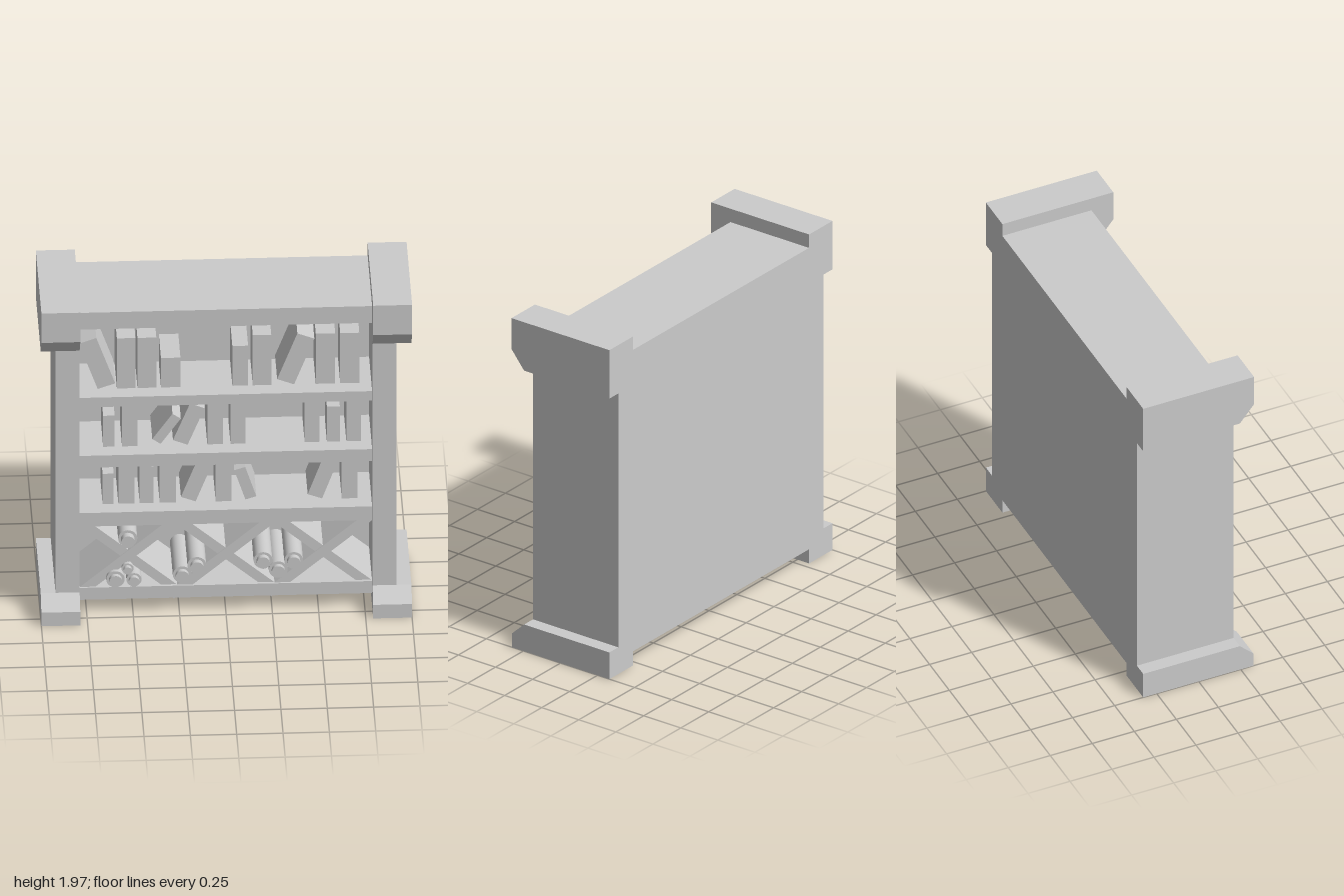
import * as THREE from 'three';

const material = new THREE.MeshStandardMaterial({ color: 0xcccccc, flatShading: true });
const smooth = new THREE.MeshStandardMaterial({ color: 0xcccccc });

function add(parent, name, geometry, mat = material) {
  const mesh = new THREE.Mesh(geometry, mat);
  mesh.name = name;
  parent.add(mesh);
  return mesh;
}

// Box given by its limits on each axis
function block(parent, name, x0, x1, y0, y1, z0, z1) {
  const mesh = add(parent, name, new THREE.BoxGeometry(x1 - x0, y1 - y0, z1 - z0));
  mesh.position.set((x0 + x1) / 2, (y0 + y1) / 2, (z0 + z1) / 2);
  return mesh;
}

// Side profile of [z, y] points, extruded from x0 to x1
function sideProfile(parent, name, points, x0, x1) {
  const shape = new THREE.Shape(points.map(([z, y]) => new THREE.Vector2(-z, y)));
  const geometry = new THREE.ExtrudeGeometry(shape, { depth: x1 - x0, bevelEnabled: false });
  geometry.rotateY(Math.PI / 2);
  geometry.translate(x0, 0, 0);
  return add(parent, name, geometry);
}

const BACK = -0.33, INNER = -0.16, FRONT = 0.2;

export function createModel() {
  const model = new THREE.Group();
  model.name = 'bookcase';

  // Side posts with chamfered feet and capitals
  for (const side of [1, -1]) {
    const span = (a, b) => (side > 0 ? [a, b] : [-b, -a]);
    const label = side > 0 ? 'left' : 'right';
    block(model, label + 'Post', ...span(0.79, 0.92), 0.16, 1.68, BACK, 0.245);
    sideProfile(model, label + 'Foot',
      [[BACK, 0], [0.325, 0], [0.325, 0.085], [0.245, 0.16], [BACK, 0.16]], ...span(0.79, 1));
    sideProfile(model, label + 'Capital',
      [[BACK, 1.68], [0.245, 1.68], [0.33, 1.785], [0.33, 1.97], [BACK, 1.97]], ...span(0.79, 1));
  }

  // Back panel and boards
  block(model, 'backPanel', -0.79, 0.79, 0.085, 1.89, BACK, INNER);
  const boards = [
    ['bottomBoard', 0.085, 0.16], ['lowerShelf', 0.545, 0.63], ['middleShelf', 0.915, 0.99],
    ['upperShelf', 1.295, 1.355], ['topBoard', 1.785, 1.89],
  ];
  for (const [name, y0, y1] of boards) block(model, name, -0.79, 0.79, y0, y1, INNER, FRONT);

  // Upright books: shelf height, then [left, right, top]
  const books = new THREE.Group();
  books.name = 'books';
  model.add(books);
  const rows = [
    [1.355, [[-0.583, -0.483, 1.67], [-0.472, -0.37, 1.67], [-0.345, -0.24, 1.54], [0.04, 0.125, 1.605],
      [0.15, 0.25, 1.67], [0.49, 0.595, 1.67], [0.622, 0.725, 1.67]]],
    [0.99, [[-0.657, -0.595, 1.185], [-0.555, -0.473, 1.245], [-0.095, -0.01, 1.245], [0.03, 0.11, 1.245],
      [0.43, 0.51, 1.245], [0.55, 0.62, 1.21], [0.655, 0.735, 1.245]]],
    [0.63, [[-0.66, -0.6, 0.82], [-0.575, -0.487, 0.91], [-0.46, -0.385, 0.86], [-0.352, -0.265, 0.91],
      [-0.05, 0.035, 0.91], [0.63, 0.715, 0.91]]],
  ];
  for (const [base, row] of rows)
    for (const [x0, x1, top] of row) block(books, 'book', x0, x1, base, top, -0.14, 0.11);

  // Leaning books: centre x, centre y, width, height, lean in degrees
  const leaning = [
    [-0.69, 1.515, 0.1, 0.305, 19.5], [0.382, 1.515, 0.098, 0.305, -21],
    [-0.315, 1.094, 0.055, 0.19, -35], [-0.195, 1.12, 0.085, 0.245, -22],
    [-0.153, 0.765, 0.085, 0.25, -21], [0.11, 0.74, 0.062, 0.195, 18], [0.528, 0.765, 0.083, 0.25, -20],
  ];
  for (const [x, y, w, h, lean] of leaning) {
    const book = add(books, 'leaningBook', new THREE.BoxGeometry(w, h, 0.25));
    book.position.set(x, y, -0.015);
    book.rotation.z = THREE.MathUtils.degToRad(lean);
  }

  // Crossed slats of the bottle rack
  const rack = new THREE.Group();
  rack.name = 'bottleRack';
  model.add(rack);
  for (const x of [-0.525, 0, 0.525])
    for (const turn of [1, -1]) {
      const slat = add(rack, 'slat', new THREE.BoxGeometry(0.78, 0.055, 0.35));
      slat.position.set(x, 0.347, 0.012 + 0.003 * turn);
      slat.rotation.z = turn * THREE.MathUtils.degToRad(40.5);
    }

  // Bottles: x, y, radius, front of body, front of neck
  const bottles = new THREE.Group();
  bottles.name = 'bottles';
  model.add(bottles);
  const list = [
    [-0.53, 0.485, 0.052, 0.235, 0.275], [-0.595, 0.215, 0.05, 0.21, 0.235],
    [-0.53, 0.28, 0.032, 0.21, 0.235], [-0.495, 0.21, 0.041, 0.21, 0.235],
    [-0.235, 0.235, 0.051, 0.21, 0.235], [-0.157, 0.307, 0.051, 0.235, 0.265],
    [0.2, 0.328, 0.051, 0.235, 0.265], [0.283, 0.252, 0.051, 0.21, 0.235],
    [0.365, 0.324, 0.051, 0.235, 0.265],
  ];
  for (const [x, y, r, body, neck] of list) {
    const bottle = new THREE.Group();
    bottle.name = 'bottle';
    bottle.position.set(x, y, 0);
    bottles.add(bottle);
    for (const [name, radius, z0, z1] of [['body', r, -0.13, body], ['neck', r * 0.7, body, neck]]) {
      const part = add(bottle, name, new THREE.CylinderGeometry(radius, radius, z1 - z0, 24), smooth);
      part.rotation.x = Math.PI / 2;
      part.position.z = (z0 + z1) / 2;
    }
  }

  return model;
}
